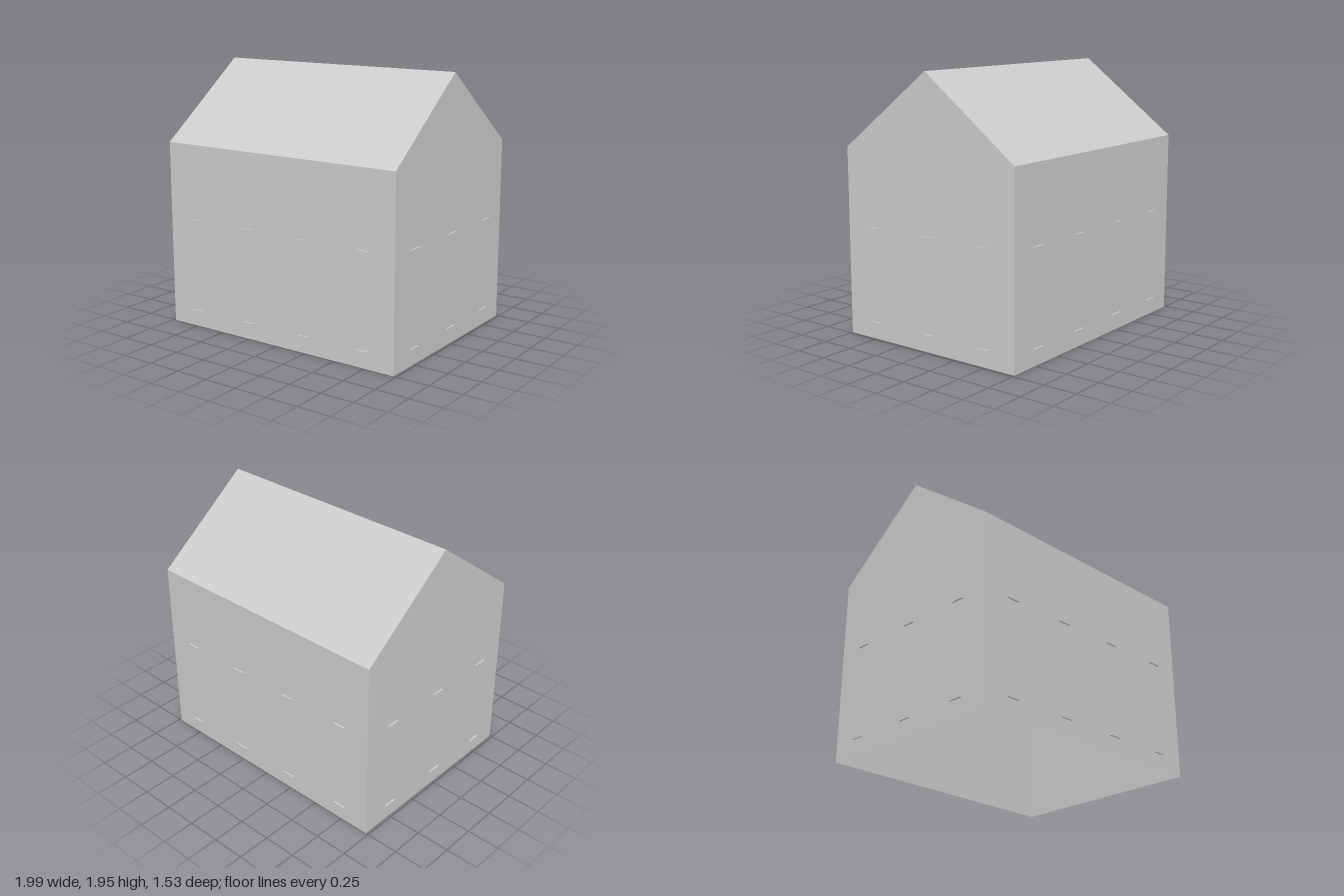
import * as THREE from 'three';

const HX = 0.98, HZ = 0.75, EAVE = 1.38, RIDGE = 1.945;
const GAP = 0.005, SILL_W = 0.1, SILL_H = 0.015, SILL_D = 0.012, WINDOW_H = 0.33;
const FLOORS = [0.115, 0.81];

export function createModel() {
  const house = new THREE.Group();
  house.name = 'house';
  const grey = new THREE.MeshStandardMaterial({ color: 0xcccccc, side: THREE.DoubleSide });
  grey.name = 'plain grey';

  const add = (parent, name, geometry, x, y, z) => {
    const mesh = new THREE.Mesh(geometry, grey);
    mesh.name = name;
    mesh.position.set(x, y, z);
    parent.add(mesh);
    return mesh;
  };

  // Pentagonal end wall outline
  const gable = new THREE.Shape([
    [-HZ, 0], [HZ, 0], [HZ, EAVE], [0, RIDGE], [-HZ, EAVE],
  ].map(([x, y]) => new THREE.Vector2(x, y)));

  const rise = RIDGE - EAVE;
  const slope = Math.hypot(HZ, rise);
  const tilt = -Math.atan2(HZ, rise);

  // Each half: long wall, roof slope and gable; the underside stays open
  [1, -1].forEach((s) => {
    const longSide = new THREE.Group();
    longSide.name = s > 0 ? 'frontSide' : 'backSide';
    longSide.rotation.y = s > 0 ? 0 : Math.PI;
    add(longSide, 'longWall', new THREE.PlaneGeometry(2 * HX, EAVE), 0, EAVE / 2, HZ);
    add(longSide, 'roofSlope', new THREE.PlaneGeometry(2 * HX, slope),
      0, (EAVE + RIDGE) / 2, HZ / 2).rotation.x = tilt;
    addSills(longSide, [-0.735, -0.245, 0.245, 0.735], HZ, false);

    const endSide = new THREE.Group();
    endSide.name = s > 0 ? 'leftEnd' : 'rightEnd';
    endSide.rotation.y = s * Math.PI / 2;
    add(endSide, 'gableWall', new THREE.ShapeGeometry(gable), 0, 0, HX);
    addSills(endSide, [-0.5, 0, 0.5], HX, true);

    house.add(longSide, endSide);
  });

  // Two rows of sills just off the wall, with thin window panels on the ends
  function addSills(side, centres, wall, withWindows) {
    for (const y of FLOORS) {
      for (const x of centres) {
        add(side, 'windowSill', new THREE.BoxGeometry(SILL_W, SILL_H, SILL_D),
          x, y + SILL_H / 2, wall + GAP + SILL_D / 2);
        if (withWindows) {
          add(side, 'window', new THREE.PlaneGeometry(SILL_W, WINDOW_H),
            x, y + SILL_H + WINDOW_H / 2, wall + GAP);
        }
      }
    }
  }

  return house;
}
